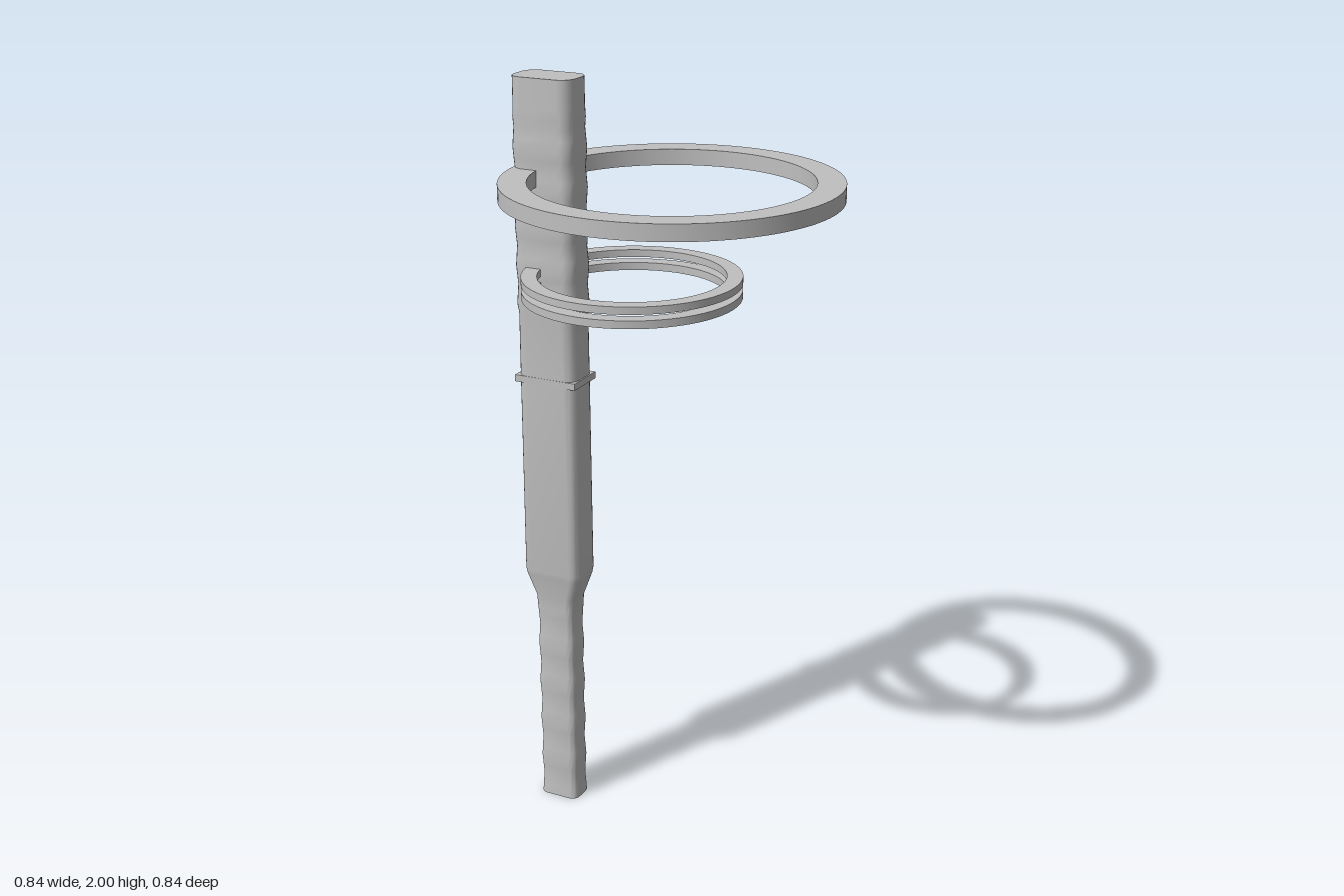
import * as THREE from 'three';
import { toCreasedNormals } from 'three/addons/utils/BufferGeometryUtils.js';

const POST_X = -0.335;

// Outline of a rounded rectangle, as [x, z] pairs
function roundedRect(hw, hd, r, steps = 6) {
  const pts = [];
  const corners = [[1, 1], [-1, 1], [-1, -1], [1, -1]];
  corners.forEach(([sx, sz], c) => {
    for (let i = 0; i <= steps; i++) {
      const a = (c + i / steps) * Math.PI / 2;
      pts.push([sx * (hw - r) + r * Math.cos(a), sz * (hd - r) + r * Math.sin(a)]);
    }
  });
  return pts;
}

// Skin rounded-rectangle sections [y, halfWidth, halfDepth, radius] into a closed solid
function loft(sections) {
  const pos = [], idx = [];
  let n = 0;
  for (const [y, hw, hd, r] of sections) {
    const loop = roundedRect(hw, hd, r);
    n = loop.length;
    loop.forEach(([x, z]) => pos.push(x, y, z));
  }
  const last = sections.length - 1;
  for (let s = 0; s < last; s++) {
    for (let i = 0; i < n; i++) {
      const a = s * n + i, b = s * n + (i + 1) % n;
      idx.push(a, a + n, b, b, a + n, b + n);
    }
  }
  for (let i = 1; i < n - 1; i++) {
    idx.push(0, i, i + 1);
    idx.push(last * n, last * n + i + 1, last * n + i);
  }
  const g = new THREE.BufferGeometry();
  g.setAttribute('position', new THREE.Float32BufferAttribute(pos, 3));
  g.setIndex(idx);
  return toCreasedNormals(g, 0.5);
}

// Flat ring with a rectangular section
function ring(name, x, y0, y1, inner, outer, material) {
  const profile = [[inner, y0], [outer, y0], [outer, y1], [inner, y1], [inner, y0]]
    .map(([r, y]) => new THREE.Vector2(r, y));
  const mesh = new THREE.Mesh(toCreasedNormals(new THREE.LatheGeometry(profile, 96), 0.5), material);
  mesh.position.x = x;
  mesh.name = name;
  return mesh;
}

export function createModel() {
  const grey = new THREE.MeshStandardMaterial({ color: 0xc0c0c0 });
  grey.name = 'light grey';
  const model = new THREE.Group();
  model.name = 'ringedPost';

  // Post: gently rippled grip, flare, plain shaft, then rippled upper blade
  const sections = [];
  for (let i = 0; i <= 20; i++) {
    const w = 0.0015 * Math.cos(i * Math.PI / 2);
    sections.push([i * 0.029, 0.055 + w, 0.039 + w, 0.022]);
  }
  sections.push([0.61, 0.059, 0.041, 0.023], [0.675, 0.081, 0.053, 0.026], [0.69, 0.083, 0.055, 0.026]);
  sections.push([1.22, 0.083, 0.055, 0.03], [1.4, 0.084, 0.0555, 0.035]);
  for (let i = 1; i <= 20; i++) {
    const w = 0.0015 * Math.sin(i * Math.PI / 2);
    sections.push([1.4 + i * 0.025, 0.0865 + w, 0.056 + w, 0.036]);
  }
  sections.push([1.93, 0.085, 0.0555, 0.036], [2, 0.085, 0.055, 0.036]);
  const post = new THREE.Mesh(loft(sections), grey);
  post.position.x = POST_X;
  post.name = 'post';
  model.add(post);

  // Thin square-cornered collar, showing mainly at the post corners
  const collar = new THREE.Mesh(new THREE.BoxGeometry(0.174, 0.018, 0.112), grey);
  collar.position.set(POST_X, 1.228, 0);
  collar.name = 'collar';
  model.add(collar);

  // Large hoop and the pair of smaller hoops below it
  model.add(ring('largeRing', 0, 1.734, 1.775, 0.349, 0.419, grey));
  model.add(ring('smallRingLower', -0.11, 1.473, 1.493, 0.235, 0.275, grey));
  model.add(ring('smallRingUpper', -0.11, 1.508, 1.527, 0.235, 0.275, grey));
  return model;
}
